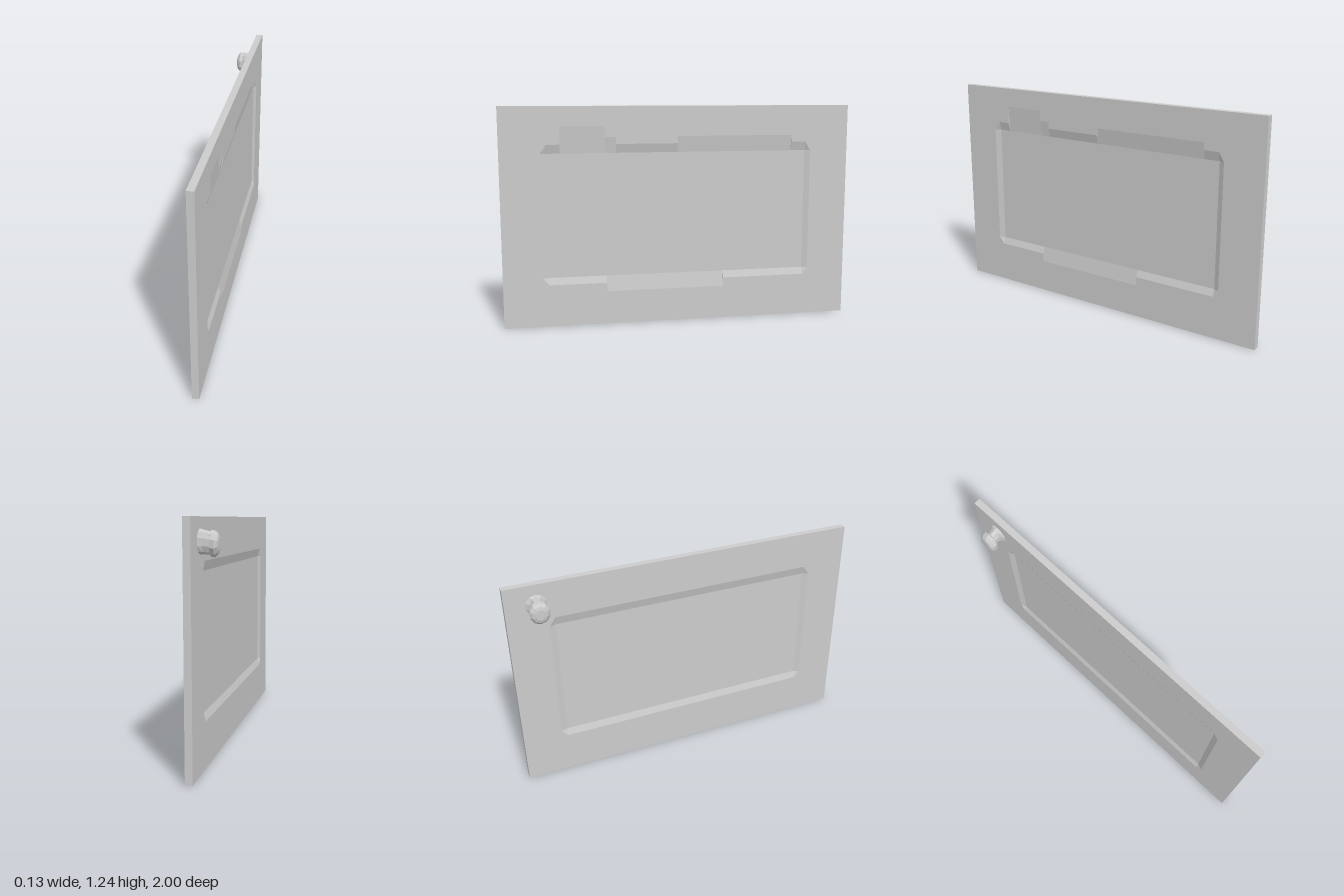
import * as THREE from 'three';

const THICK = 0.038, DEPTH = 0.014, HEIGHT = 1.24, CENTRE_X = 0.044;
const INNER = { u0: -0.745, u1: 0.745, v0: 0.28, v1: 0.98 };
const SLAB = [[-1, 0], [1, 0], [1, HEIGHT], [-1, HEIGHT]];

// Flat-shaded band joining two closed loops of equal length, at depths zA and zB
function ring(a, zA, b, zB) {
  const pos = [];
  for (let i = 0; i < a.length; i++) {
    const j = (i + 1) % a.length;
    const p = [...a[i], zA], q = [...a[j], zA], r = [...b[j], zB], s = [...b[i], zB];
    pos.push(...p, ...q, ...r, ...p, ...r, ...s);
  }
  const g = new THREE.BufferGeometry();
  g.setAttribute('position', new THREE.Float32BufferAttribute(pos, 3));
  g.computeVertexNormals();
  return g;
}

const points = (loop) => loop.map(([u, v]) => new THREE.Vector2(u, v));

export function createModel() {
  const model = new THREE.Group();
  const material = new THREE.MeshStandardMaterial({ color: 0xcccccc, flatShading: true });
  const add = (parent, name, geometry) => {
    const mesh = new THREE.Mesh(geometry, material);
    mesh.name = name;
    parent.add(mesh);
  };

  // One broad face: a frame, sloping recess edges and a sunken panel
  function face(name, outline, turn) {
    const group = new THREE.Group();
    group.name = name;
    const { u0, u1, v0, v1 } = INNER;
    const clamp = THREE.MathUtils.clamp;
    const inner = outline.map(([u, v]) => [clamp(u, u0, u1), clamp(v, v0, v1)]);
    const frame = new THREE.Shape(points(SLAB));
    frame.holes.push(new THREE.Path(points(outline)));
    add(group, 'frame', new THREE.ShapeGeometry(frame).translate(0, 0, THICK / 2));
    add(group, 'recessBevel', ring(outline, THICK / 2, inner, THICK / 2 - DEPTH));
    const panel = new THREE.Shape(points([[u0, v0], [u1, v0], [u1, v1], [u0, v1]]));
    add(group, 'sunkenPanel', new THREE.ShapeGeometry(panel).translate(0, 0, THICK / 2 - DEPTH));
    group.rotation.y = turn;
    group.position.x = CENTRE_X;
    model.add(group);
    return group;
  }

  // Stepped recess on one side, plain recess on the other
  face('steppedFace', [
    [-0.745, 0.24], [-0.42, 0.24], [-0.42, 0.19], [0.26, 0.19], [0.26, 0.24], [0.745, 0.24],
    [0.775, 0.28], [0.775, 0.98], [0.745, 1.03],
    [0.66, 1.03], [0.66, 1.07], [-0.01, 1.07], [-0.01, 1.03], [-0.36, 1.03], [-0.36, 1.07],
    [-0.42, 1.07], [-0.42, 1.13], [-0.67, 1.13], [-0.67, 1.03], [-0.745, 1.03],
    [-0.78, 0.98], [-0.78, 0.28],
  ], Math.PI / 2);
  const knobFace = face('plainFace', [
    [-0.745, 0.24], [0.745, 0.24], [0.78, 0.28], [0.78, 0.98],
    [0.745, 1.03], [-0.745, 1.03], [-0.78, 0.98], [-0.78, 0.28],
  ], -Math.PI / 2);

  // Narrow edges of the slab
  add(knobFace, 'slabEdge', ring(SLAB, -THICK / 2, SLAB, THICK / 2));

  // Faceted knob: [distance from face, half width, half height, centre height]
  const sections = [
    [0, 0.058, 0.06, 1.124], [0.018, 0.032, 0.057, 1.122], [0.05, 0.03, 0.054, 1.117],
    [0.055, 0.052, 0.062, 1.115], [0.075, 0.055, 0.062, 1.113],
    [0.09, 0.042, 0.047, 1.113], [0.095, 0.026, 0.03, 1.113], [0.095, 0, 0, 1.113],
  ];
  const loops = sections.map(([, w, h, y]) => Array.from({ length: 10 }, (_, i) => {
    const t = (i + 0.5) * Math.PI / 5;
    return [-0.835 + w * Math.cos(t), y + h * Math.sin(t)];
  }));
  const knob = new THREE.Group();
  knob.name = 'knob';
  for (let i = 0; i < sections.length - 1; i++) {
    const z = THICK / 2;
    add(knob, i < 3 ? 'knobStem' : 'knobCap',
      ring(loops[i], z + sections[i][0], loops[i + 1], z + sections[i + 1][0]));
  }
  knobFace.add(knob);
  return model;
}
